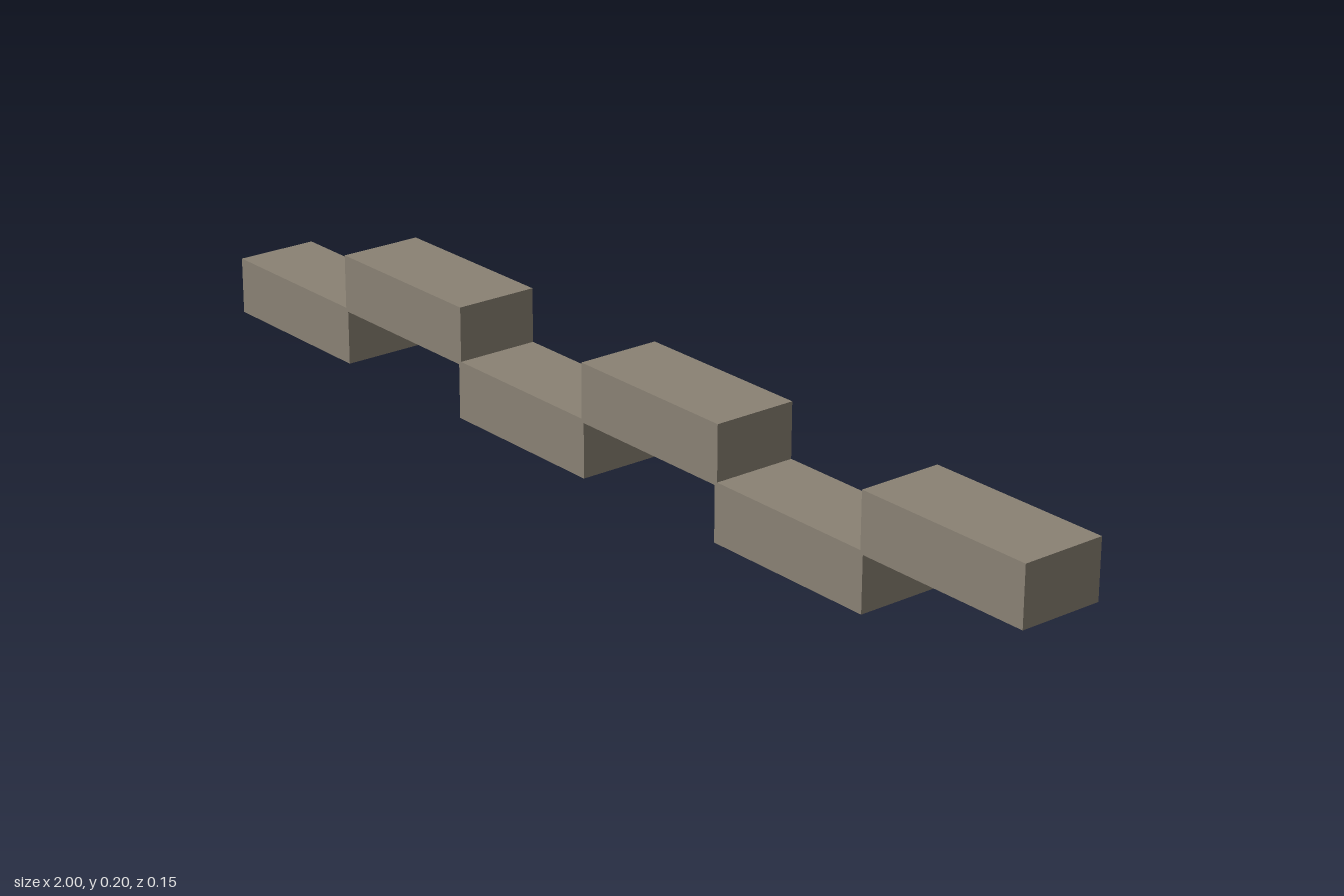
import * as THREE from 'three';

export function createModel() {
  const group = new THREE.Group();
  group.name = 'staggeredBlocks';

  const count = 6, length = 0.338, height = 0.103, depth = 0.152, totalHeight = 0.2;
  const pitch = (2 - length) / (count - 1);
  const geometry = new THREE.BoxGeometry(length, height, depth);
  const material = new THREE.MeshStandardMaterial({ color: 0x8a8274 });

  // Row of blocks alternating between low and high, slightly overlapping at the corners
  for (let i = 0; i < count; i++) {
    const raised = i % 2 === 1;
    const block = new THREE.Mesh(geometry, material);
    block.name = (raised ? 'upperBlock' : 'lowerBlock') + (Math.floor(i / 2) + 1);
    block.position.set(
      -1 + length / 2 + i * pitch,
      raised ? totalHeight - height / 2 : height / 2,
      0
    );
    group.add(block);
  }
  return group;
}
